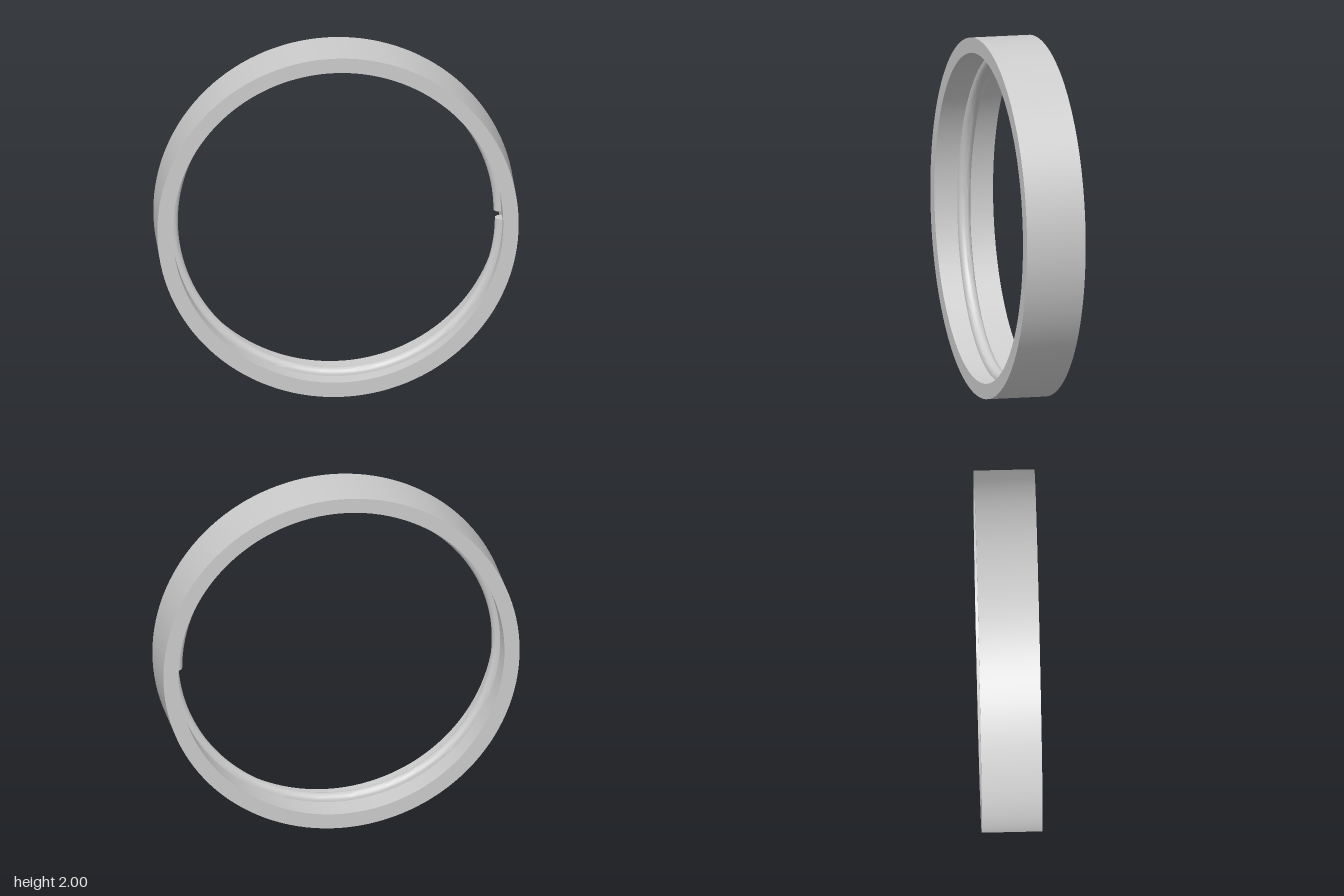
import * as THREE from 'three';
import { toCreasedNormals } from 'three/addons/utils/BufferGeometryUtils.js';

const OUTER = 1, INNER = 0.915, HALF_WIDTH = 0.168;
const SEGMENTS = 128;

// Plain band: a rectangular section turned around the z axis
function bandGeometry() {
  const section = [
    [OUTER, -HALF_WIDTH], [OUTER, HALF_WIDTH],
    [INNER, HALF_WIDTH], [INNER, -HALF_WIDTH], [OUTER, -HALF_WIDTH],
  ].map(([r, z]) => new THREE.Vector2(r, z));
  const geometry = new THREE.LatheGeometry(section, SEGMENTS);
  geometry.rotateX(Math.PI / 2);
  return toCreasedNormals(geometry, 0.6);
}

// Thread: a rounded ridge swept one full turn along a helix, closed at both ends
function threadGeometry({ height, halfWidth, pitch }) {
  const steps = 12;
  const positions = [], index = [];
  for (let i = 0; i <= SEGMENTS; i++) {
    const turn = i / SEGMENTS;
    const angle = turn * Math.PI * 2;
    for (let j = 0; j <= steps; j++) {
      const a = (j / steps) * Math.PI;
      const r = INNER + 0.002 - (height + 0.002) * Math.pow(Math.max(0, Math.sin(a)), 0.8);
      const z = (turn - 0.5) * pitch - halfWidth * Math.cos(a);
      positions.push(r * Math.cos(angle), r * Math.sin(angle), z);
    }
  }
  const row = steps + 1;
  for (let i = 0; i < SEGMENTS; i++) {
    for (let j = 0; j < steps; j++) {
      const a = i * row + j, b = a + 1, c = a + row, d = c + 1;
      index.push(a, b, c, b, d, c);
    }
  }
  // End caps
  const last = SEGMENTS * row;
  for (let j = 1; j < steps; j++) {
    index.push(0, j + 1, j);
    index.push(last, last + j, last + j + 1);
  }
  const geometry = new THREE.BufferGeometry();
  geometry.setAttribute('position', new THREE.Float32BufferAttribute(positions, 3));
  geometry.setIndex(index);
  return toCreasedNormals(geometry, 0.9);
}

export function createModel() {
  const material = new THREE.MeshStandardMaterial({ color: 0xcccccc });
  const group = new THREE.Group();
  group.name = 'threadedRing';

  const band = new THREE.Mesh(bandGeometry(), material);
  band.name = 'band';

  const thread = new THREE.Mesh(
    threadGeometry({ height: 0.04, halfWidth: 0.036, pitch: 0.12 }), material);
  thread.name = 'innerThread';

  for (const part of [band, thread]) {
    part.position.y = OUTER;
    group.add(part);
  }
  return group;
}
